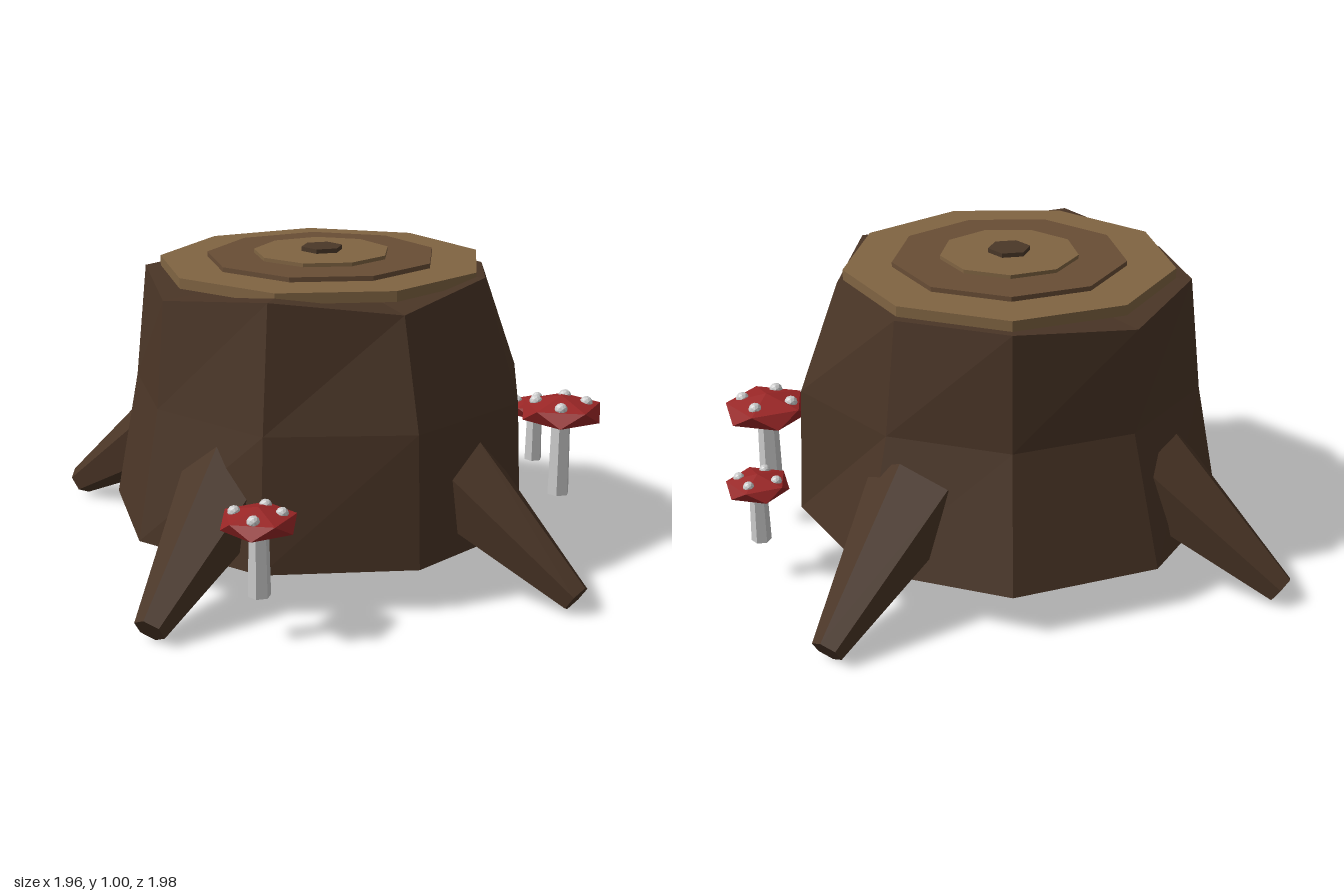
import * as THREE from 'three';

const mat = (color) => new THREE.MeshStandardMaterial({ color, flatShading: true });
const bark = mat(0x4a3526), paleWood = mat(0x806442), midWood = mat(0x684d35), coreWood = mat(0x4a3828);
const red = mat(0x9a2626), grey = mat(0xcccccc);
const CZ = -0.03; // trunk axis

function add(parent, name, geometry, material, x = 0, y = 0, z = 0) {
  const mesh = new THREE.Mesh(geometry, material);
  mesh.name = name;
  mesh.position.set(x, y, z);
  parent.add(mesh);
  return mesh;
}

// Nine-sided trunk lofted through three uneven rings, starting at the back
function trunkGeometry() {
  const n = 9;
  const radii = [
    Array(n).fill(0.7),
    [0.58, 0.58, 0.59, 0.68, 0.68, 0.68, 0.66, 0.62, 0.62],
    [0.58, 0.56, 0.54, 0.55, 0.56, 0.58, 0.6, 0.59, 0.58],
  ];
  const heights = [
    Array(n).fill(0.14),
    Array(n).fill(0.56),
    [0.9, 0.93, 0.92, 0.92, 0.95, 0.9, 0.95, 0.9, 0.93],
  ];
  const pos = [], index = [];
  radii.forEach((ring, j) => ring.forEach((r, k) => {
    const a = (k / n) * Math.PI * 2;
    pos.push(Math.sin(a) * r, heights[j][k], CZ - Math.cos(a) * r);
  }));
  pos.push(0, 0.14, CZ, 0, 0.93, CZ);
  for (let k = 0; k < n; k++) {
    const m = (k + 1) % n;
    for (let j = 0; j < 2; j++) {
      const b = j * n, t = b + n;
      index.push(b + m, b + k, t + k, b + m, t + k, t + m);
    }
    index.push(3 * n, k, m, 3 * n + 1, 2 * n + m, 2 * n + k);
  }
  const g = new THREE.BufferGeometry();
  g.setAttribute('position', new THREE.Float32BufferAttribute(pos, 3));
  g.setIndex(index);
  const flat = g.toNonIndexed();
  flat.computeVertexNormals();
  return flat;
}

// Tapered six-sided root from inside the trunk out to its tip
function addRoot(parent, name, base, tip) {
  const a = new THREE.Vector3(...base), b = new THREE.Vector3(...tip);
  const dir = b.clone().sub(a);
  const g = new THREE.CylinderGeometry(0.05, 0.165, dir.length(), 6);
  const root = add(parent, name, g, bark);
  root.position.copy(a).add(b).multiplyScalar(0.5);
  // keep one ridge on the upper side
  const yAxis = dir.normalize();
  const xAxis = new THREE.Vector3(0, 1, 0).cross(yAxis).normalize();
  const zAxis = new THREE.Vector3().crossVectors(xAxis, yAxis);
  root.quaternion.setFromRotationMatrix(new THREE.Matrix4().makeBasis(xAxis, yAxis, zAxis));
}

// Stem, flattened faceted cap and four spots
function addMushroom(parent, name, x, z, capY, s) {
  const m = new THREE.Group();
  m.name = name;
  m.position.set(x, 0, z);
  const stemH = capY - 0.14;
  add(m, 'mushroomStem', new THREE.CylinderGeometry(0.033 * (0.4 + 0.6 * s), 0.038 * (0.4 + 0.6 * s), stemH, 6), grey, 0, 0.14 + stemH / 2, 0);
  const cap = new THREE.IcosahedronGeometry(0.15 * s, 0);
  cap.rotateZ(Math.atan2(1, (1 + Math.sqrt(5)) / 2));
  cap.scale(1, 0.36, 1);
  add(m, 'mushroomCap', cap, red, 0, capY, 0);
  for (const [dx, dz] of [[-0.05, -0.07], [0.07, -0.04], [0.055, 0.06], [-0.07, 0.05]]) {
    add(m, 'capSpot', new THREE.IcosahedronGeometry(0.007 + 0.015 * s, 1), grey, dx * s, capY + 0.031 * s, dz * s);
  }
  parent.add(m);
}

export function createModel() {
  const model = new THREE.Group();
  model.name = 'treeStump';
  add(model, 'trunk', trunkGeometry(), bark);

  // Stacked growth rings: radius, bottom, top, sides
  [
    ['outerRing', 0.53, 0.93, 0.963, 9, paleWood],
    ['middleRing', 0.375, 0.95, 0.978, 9, midWood],
    ['innerRing', 0.222, 0.96, 0.99, 9, paleWood],
    ['heartwood', 0.068, 0.97, 1.004, 6, coreWood],
  ].forEach(([name, r, y0, y1, sides, material]) => {
    const g = new THREE.CylinderGeometry(r, r, y1 - y0, sides).rotateY(Math.PI);
    add(model, name, g, material, 0, (y0 + y1) / 2, CZ);
  });

  addRoot(model, 'frontRoot', [0.03, 0.36, 0.5], [0.1, 0.045, 0.96]);
  addRoot(model, 'leftRoot', [0.5, 0.36, -0.18], [0.955, 0.045, -0.315]);
  addRoot(model, 'backRoot', [-0.16, 0.36, -0.52], [-0.32, 0.045, -0.96]);
  addRoot(model, 'rightRoot', [-0.51, 0.36, 0.1], [-0.955, 0.045, 0.225]);

  addMushroom(model, 'largeMushroom', 0.597, 0.51, 0.432, 1);
  addMushroom(model, 'smallMushroom', 0.823, 0.226, 0.334, 0.73);
  addMushroom(model, 'rightMushroom', -0.705, 0.424, 0.368, 0.83);
  return model;
}
